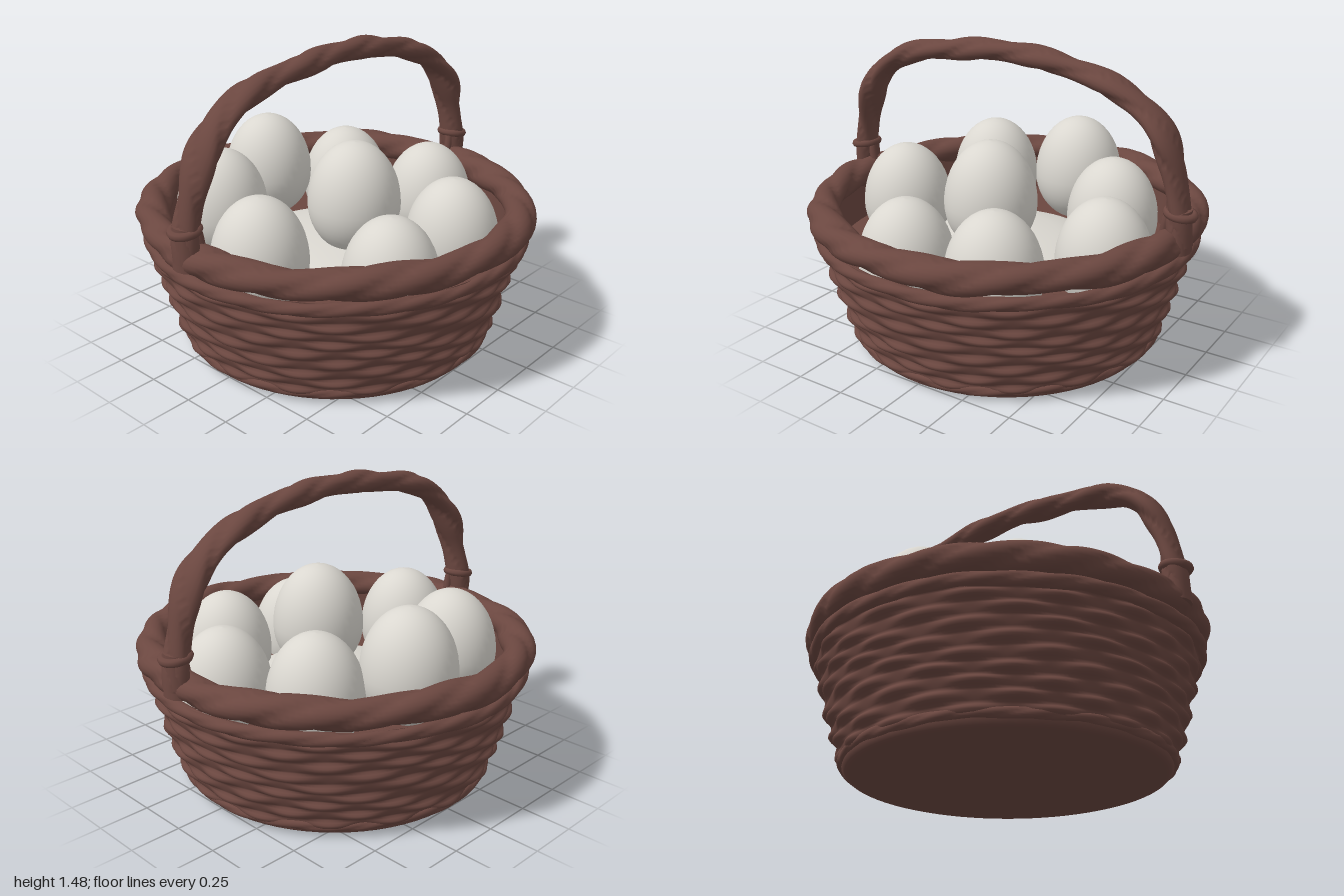
import * as THREE from 'three';
import { mergeVertices } from 'three/addons/utils/BufferGeometryUtils.js';

const TAU = Math.PI * 2;

// Grid surface from a rule fn(u, v) -> [x, y, z], u and v in 0..1, seams welded smooth
function surface(nu, nv, fn) {
  const pos = [], index = [];
  for (let j = 0; j <= nv; j++)
    for (let i = 0; i <= nu; i++) pos.push(...fn(i / nu, j / nv));
  for (let j = 0; j < nv; j++)
    for (let i = 0; i < nu; i++) {
      const a = j * (nu + 1) + i, b = a + 1, c = a + nu + 1, d = c + 1;
      index.push(a, b, c, b, d, c);
    }
  let g = new THREE.BufferGeometry();
  g.setAttribute('position', new THREE.Float32BufferAttribute(pos, 3));
  g.setIndex(index);
  g = mergeVertices(g, 1e-5);
  g.computeVertexNormals();
  return g;
}

// Rounded strands of a twisted rope: relative radius at section angle phi
const strands = (phi, twist) => 0.74 + 0.3 * Math.sqrt(Math.abs(Math.cos(1.5 * phi - twist)));

export function createModel() {
  const group = new THREE.Group();
  const wicker = new THREE.MeshStandardMaterial({ color: 0x6b4740 });
  wicker.name = 'brown wicker';
  const shell = new THREE.MeshStandardMaterial({ color: 0xdad7d0 });
  shell.name = 'white eggshell';

  const add = (name, geometry, material, x = 0, y = 0, z = 0) => {
    const m = new THREE.Mesh(geometry, material);
    m.name = name;
    m.position.set(x, y, z);
    group.add(m);
    return m;
  };

  // Woven wall: rows of rounded withies passing in and out of the stakes
  const rows = 10, stakes = 30;
  add('wovenWall', surface(300, rows * 6, (u, v) => {
    const th = u * TAU;
    const y = 0.03 + v * 0.56 + 0.008 * Math.sin(5 * th + v * 9) * Math.sin(v * Math.PI);
    const row = Math.min(rows - 1, Math.floor(v * rows));
    const round = Math.sin((v * rows - row) * Math.PI);
    const weave = Math.sin(stakes * 0.5 * th + row * Math.PI + 0.5 * Math.sin(3 * th + row));
    const r = 0.755 + 0.17 * Math.pow(v, 0.85) + round * (0.016 + 0.014 * weave);
    return [r * Math.sin(th), y, r * Math.cos(th)];
  }), wicker);

  // Base with a small rounded edge
  const basePts = [[0, 0], [0.73, 0], [0.75, 0.006], [0.765, 0.022], [0.765, 0.05]];
  add('base', new THREE.LatheGeometry(basePts.map(p => new THREE.Vector2(...p)), 72), wicker);

  // Inner lining and raised floor
  add('innerWall', new THREE.LatheGeometry(
    [new THREE.Vector2(0.875, 0.68), new THREE.Vector2(0.86, 0.43)], 72), wicker);
  const floor = add('floor', new THREE.CircleGeometry(0.87, 72), wicker, 0, 0.43, 0);
  floor.rotation.x = -Math.PI / 2;

  // Rope rings: the thick braided rim, the band under it and the foot ring
  const ring = (name, R, y, a, b, twists, wobble) =>
    add(name, surface(240, 24, (u, v) => {
      const th = u * TAU, phi = v * TAU;
      const s = strands(phi, twists * 1.5 * th) * (1 + wobble * Math.sin(7 * th + 1));
      const r = R + a * s * Math.cos(phi) + wobble * 0.06 * Math.sin(4 * th);
      const h = y + b * s * Math.sin(phi) + wobble * 0.06 * Math.sin(9 * th);
      return [r * Math.sin(th), h, r * Math.cos(th)];
    }), wicker);
  ring('braidedRim', 0.9, 0.665, 0.078, 0.07, 6, 0.07);
  ring('upperBand', 0.925, 0.56, 0.03, 0.032, 8, 0.05);
  ring('footRing', 0.765, 0.05, 0.022, 0.024, 8, 0.05);

  // Twisted handle arching from front to back
  const arch = new THREE.CatmullRomCurve3([
    [-0.03, 0.66, 0.94], [-0.03, 0.82, 0.925], [-0.01, 1.04, 0.875], [0, 1.22, 0.78],
    [0.01, 1.34, 0.6], [0.02, 1.4, 0.3], [0.02, 1.425, 0], [0.02, 1.4, -0.3],
    [0.02, 1.32, -0.6], [0.025, 1.2, -0.79], [0.03, 1.03, -0.88], [0.035, 0.82, -0.925],
    [0.035, 0.66, -0.945]].map(p => new THREE.Vector3(...p)));
  add('handle', surface(180, 24, (u, v) => {
    const p = arch.getPointAt(u), t = arch.getTangentAt(u), phi = v * TAU;
    const s = strands(phi, u * 9 * Math.PI) * (1 + 0.08 * Math.sin(u * 47));
    const side = Math.abs(u - 0.5) * 2;
    const wide = 0.064 + 0.026 * Math.exp(-Math.pow((side - 0.62) / 0.2, 2));
    const out = 0.052 * s * Math.cos(phi), across = -wide * s * Math.sin(phi);
    return [p.x + across, p.y - t.z * out, p.z + t.y * out];
  }), wicker);

  // Handle bindings at front and back
  for (const [end, x, side] of [['front', -0.03, 1], ['back', 0.035, -1]]) {
    const collar = add(end + 'HandleBinding',
      new THREE.CylinderGeometry(0.062, 0.07, 0.2, 12, 1), wicker, x, 0.73, side * 0.94);
    collar.scale.z = 0.75;
    const knot = add(end + 'HandleKnot',
      new THREE.TorusGeometry(0.06, 0.02, 8, 24), wicker, x, 0.81, side * 0.935);
    knot.rotation.x = Math.PI / 2 + side * 0.15;
    // Loose strand tucked inside the rim
    const strand = new THREE.CatmullRomCurve3([
      new THREE.Vector3(x, 0.88, side * 0.9), new THREE.Vector3(x + 0.02, 0.79, side * 0.88),
      new THREE.Vector3(x + 0.02, 0.68, side * 0.86)]);
    add(end + 'HandleStrand', new THREE.TubeGeometry(strand, 10, 0.02, 8), wicker);
  }

  // Pale mound under the eggs
  const mound = [[0.47, 0.42], [0.45, 0.445], [0.38, 0.475], [0.25, 0.505], [0.12, 0.515], [0, 0.52]];
  add('eggMound', new THREE.LatheGeometry(mound.map(p => new THREE.Vector2(...p)), 48), shell);

  // Eggs: pointed end up, placed by x, top height, z
  const profile = [];
  for (let i = 0; i <= 24; i++) {
    const a = -Math.PI / 2 + (i / 24) * Math.PI, s = Math.sin(a);
    profile.push(new THREE.Vector2(Math.max(0, 0.228 * Math.cos(a)), s * (s > 0 ? 0.31 : 0.25)));
  }
  const egg = new THREE.LatheGeometry(profile, 40);
  [[0.13, 1.01, 0.01], [0.12, 0.84, -0.61], [0.52, 0.84, -0.27], [0.53, 0.8, 0.22],
    [0.06, 0.88, 0.585], [-0.44, 0.93, 0.36], [-0.565, 0.98, -0.09], [-0.31, 0.88, -0.43]]
    .forEach(([x, top, z], i) => add('egg' + (i + 1), egg, shell, x, top - 0.31, z));

  return group;
}
